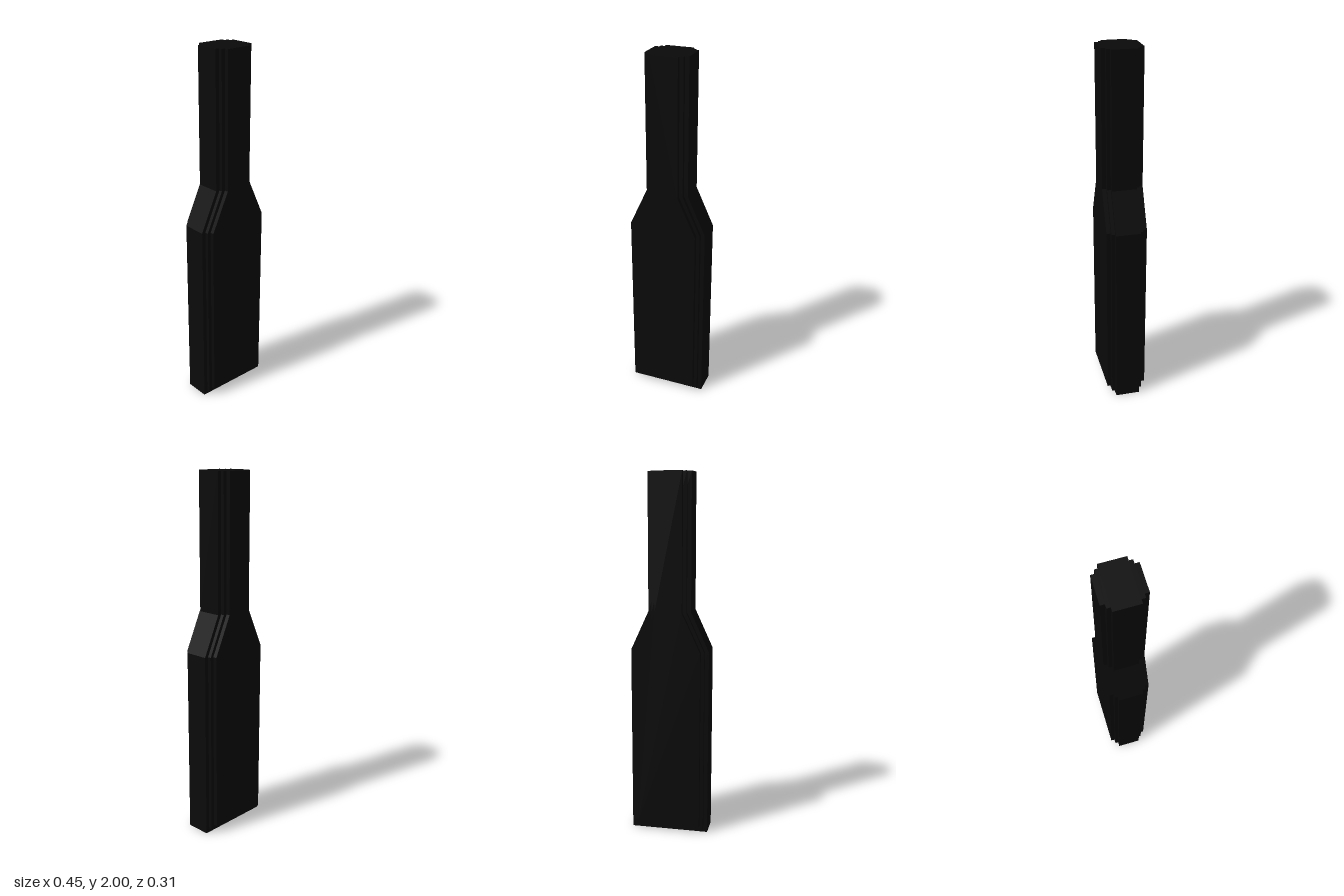
import * as THREE from 'three';

const black = new THREE.MeshStandardMaterial({ color: 0x0a0a0a });
black.name = 'matte black';

// One flat plate with the bottle-like outline, between depths z0 and z1
function plate(name, bodyHalf, neckHalf, bottom, z0, z1) {
  const right = [[bodyHalf, bottom], [bodyHalf, 1.045], [neckHalf, 1.26], [neckHalf, 2]];
  const left = right.map(([x, y]) => [-x, y]).reverse();
  const shape = new THREE.Shape([...right, ...left].map(([x, y]) => new THREE.Vector2(x, y)));
  const geometry = new THREE.ExtrudeGeometry(shape, { depth: z1 - z0, bevelEnabled: false });
  geometry.translate(0, 0, z0);
  const mesh = new THREE.Mesh(geometry, black);
  mesh.name = name;
  return mesh;
}

export function createModel() {
  const body = new THREE.Group();
  body.name = 'layeredBody';

  // Wide core, then narrower plates stepping in towards both broad faces
  body.add(plate('corePlate', 0.217, 0.118, 0, -0.068, 0.068));
  const steps = [
    { name: 'middlePlate', body: 0.195, neck: 0.096, bottom: 0.02, from: 0.068, to: 0.088 },
    { name: 'outerPlate', body: 0.176, neck: 0.075, bottom: 0.045, from: 0.088, to: 0.111 },
  ];
  for (const s of steps) {
    body.add(plate(s.name + 'Front', s.body, s.neck, s.bottom, s.from, s.to));
    body.add(plate(s.name + 'Back', s.body, s.neck, s.bottom, -s.to, -s.from));
  }

  // The whole body stands turned slightly about the vertical
  body.rotation.y = 0.288;

  const model = new THREE.Group();
  model.name = 'model';
  model.add(body);
  return model;
}
